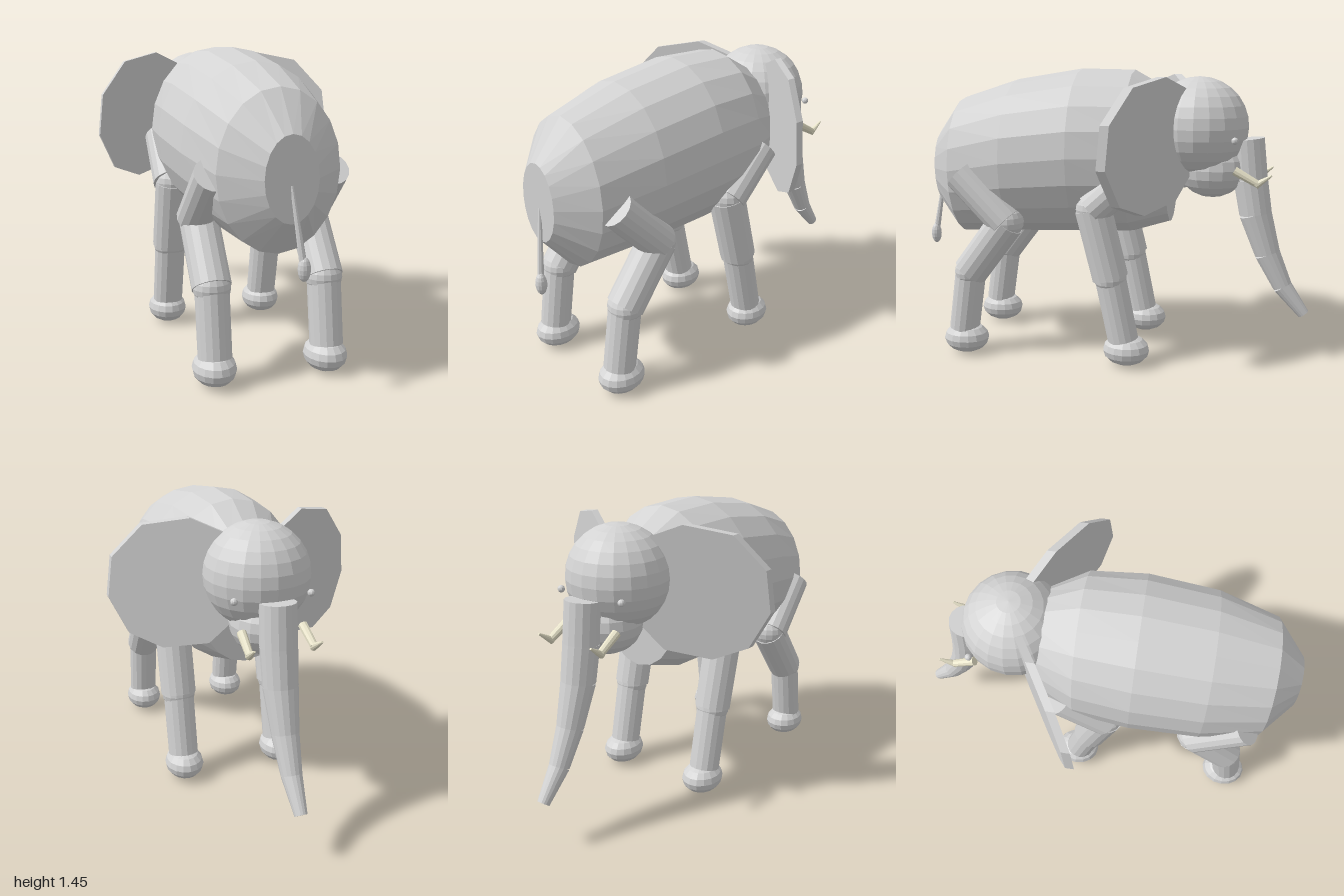
import * as THREE from 'three';

const flat = (name, color) => {
  const m = new THREE.MeshStandardMaterial({ color, flatShading: true });
  m.name = name;
  return m;
};

export function createModel() {
  const root = new THREE.Group();
  const skin = flat('greySkin', 0xd3d3d3);
  const ivory = flat('ivory', 0xf8f3d8);

  const add = (name, geo, mat = skin, parent = root) => {
    const mesh = new THREE.Mesh(geo, mat);
    mesh.name = name;
    parent.add(mesh);
    return mesh;
  };

  // Tapered cylinder between two points
  const limb = (name, a, b, ra, rb, mat = skin, parent = root, sides = 16) => {
    const p = new THREE.Vector3(...a), q = new THREE.Vector3(...b);
    const dir = q.clone().sub(p);
    const mesh = add(name, new THREE.CylinderGeometry(rb, ra, dir.length(), sides), mat, parent);
    mesh.position.copy(p).add(q).multiplyScalar(0.5);
    mesh.quaternion.setFromUnitVectors(new THREE.Vector3(0, 1, 0), dir.normalize());
  };

  // Scaled sphere
  const ball = (name, pos, size, parent = root, w = 16, h = 10) => {
    const mesh = add(name, new THREE.SphereGeometry(1, w, h), skin, parent);
    mesh.position.set(...pos);
    mesh.scale.set(...size);
  };

  // Body: elliptical rings [z, half width, bottom, top] from head end to rump
  const rings = [
    [-0.3, 0.235, 0.69, 1.34], [-0.11, 0.335, 0.63, 1.445], [0.16, 0.365, 0.62, 1.45],
    [0.5, 0.35, 0.605, 1.395], [0.795, 0.28, 0.59, 1.3], [0.935, 0.12, 0.75, 1.12],
  ];
  const bodyGeo = new THREE.CylinderGeometry(1, 1, 1, 20, rings.length - 1).rotateX(Math.PI / 2);
  const pos = bodyGeo.attributes.position;
  for (let i = 0; i < pos.count; i++) {
    const [z, hw, lo, hi] = rings[Math.round((pos.getZ(i) + 0.5) * (rings.length - 1))];
    pos.setXYZ(i, pos.getX(i) * hw, (lo + hi) / 2 + pos.getY(i) * (hi - lo) / 2, z);
  }
  bodyGeo.computeVertexNormals();
  add('body', bodyGeo);

  // Head and jaw
  ball('head', [0, 1.17, -0.43], [0.245, 0.245, 0.245], root, 20, 14);
  ball('jaw', [0, 0.965, -0.5], [0.15, 0.145, 0.17]);

  // Trunk: chain of tapering segments [y, z, radius]
  const trunk = new THREE.Group();
  trunk.name = 'trunk';
  root.add(trunk);
  const joints = [
    [1.115, -0.67, 0.082], [0.92, -0.69, 0.084], [0.745, -0.72, 0.08],
    [0.545, -0.785, 0.063], [0.38, -0.865, 0.048], [0.24, -0.975, 0.029],
  ];
  for (let i = 1; i < joints.length; i++) {
    const [y0, z0, r0] = joints[i - 1], [y1, z1, r1] = joints[i];
    limb('trunkSegment', [0, y0, z0], [0, y1, z1], r0, r1, skin, trunk);
  }

  // Tail with tuft
  limb('tail', [0, 0.91, 0.93], [0.035, 0.6, 0.975], 0.008, 0.016, skin, root, 8);
  ball('tailTuft', [0.04, 0.57, 0.978], [0.028, 0.053, 0.026], root, 12, 8);

  // Ear outline: half the decagon, the rest is its point reflection
  const half = [[-0.06, 0.315], [0.13, 0.273], [0.258, 0.115], [0.28, -0.082], [0.2, -0.254]];
  const outline = [...half, ...half.map(([u, v]) => [-u, -v])];

  // Leg joints as [y, z]: hip, knee, ankle, heel, foot
  const legs = {
    frontLeg: [[0.99, -0.18], [0.785, 0.045], [0.445, -0.04], [0.13, -0.105], [0.08, -0.12]],
    rearLeg: [[0.935, 0.725], [0.7, 0.49], [0.435, 0.69], [0.13, 0.735], [0.08, 0.725]],
  };

  for (const s of [1, -1]) {
    const side = s > 0 ? 'left' : 'right';

    // Ears: flat plates slanted back by a shear in z
    const shape = new THREE.Shape(outline.map(([u, v]) => new THREE.Vector2(s * u, v)));
    const earGeo = new THREE.ExtrudeGeometry(shape, { depth: 0.042, bevelEnabled: false });
    const p = earGeo.attributes.position;
    for (let i = 0; i < p.count; i++) p.setZ(i, p.getZ(i) + s * p.getX(i) * 0.62);
    earGeo.computeVertexNormals();
    add(side + 'Ear', earGeo).position.set(s * 0.33, 1.102, -0.268);

    ball(side + 'Eye', [s * 0.18, 1.12, -0.62], [0.017, 0.017, 0.017], root, 10, 8);

    // Tusks: root segment and upturned tip
    const tusk = new THREE.Group();
    tusk.name = side + 'Tusk';
    root.add(tusk);
    limb('tuskBase', [s * 0.145, 0.975, -0.62], [s * 0.15, 0.915, -0.73], 0.022, 0.018, ivory, tusk, 10);
    limb('tuskTip', [s * 0.15, 0.908, -0.722], [s * 0.155, 0.958, -0.795], 0.018, 0.005, ivory, tusk, 10);

    // Legs: three overlapping segments with rounded joints
    for (const [name, [hip, knee, ankle, heel, foot]] of Object.entries(legs)) {
      const leg = new THREE.Group();
      leg.name = side + name[0].toUpperCase() + name.slice(1);
      root.add(leg);
      const at = ([y, z], x = 0.265) => [s * x, y, z];
      limb('upperLeg', at(hip, 0.268), at(knee, 0.28), 0.086, 0.086, skin, leg);
      ball('knee', at(knee), [0.088, 0.085, 0.085], leg);
      limb('middleLeg', at(knee), at(ankle), 0.09, 0.089, skin, leg);
      ball('ankle', at(ankle), [0.085, 0.08, 0.08], leg);
      limb('lowerLeg', at(ankle), at(heel), 0.077, 0.076, skin, leg);
      ball('foot', at(foot), [0.098, 0.078, 0.116], leg, 16, 8);
    }
  }
  return root;
}
